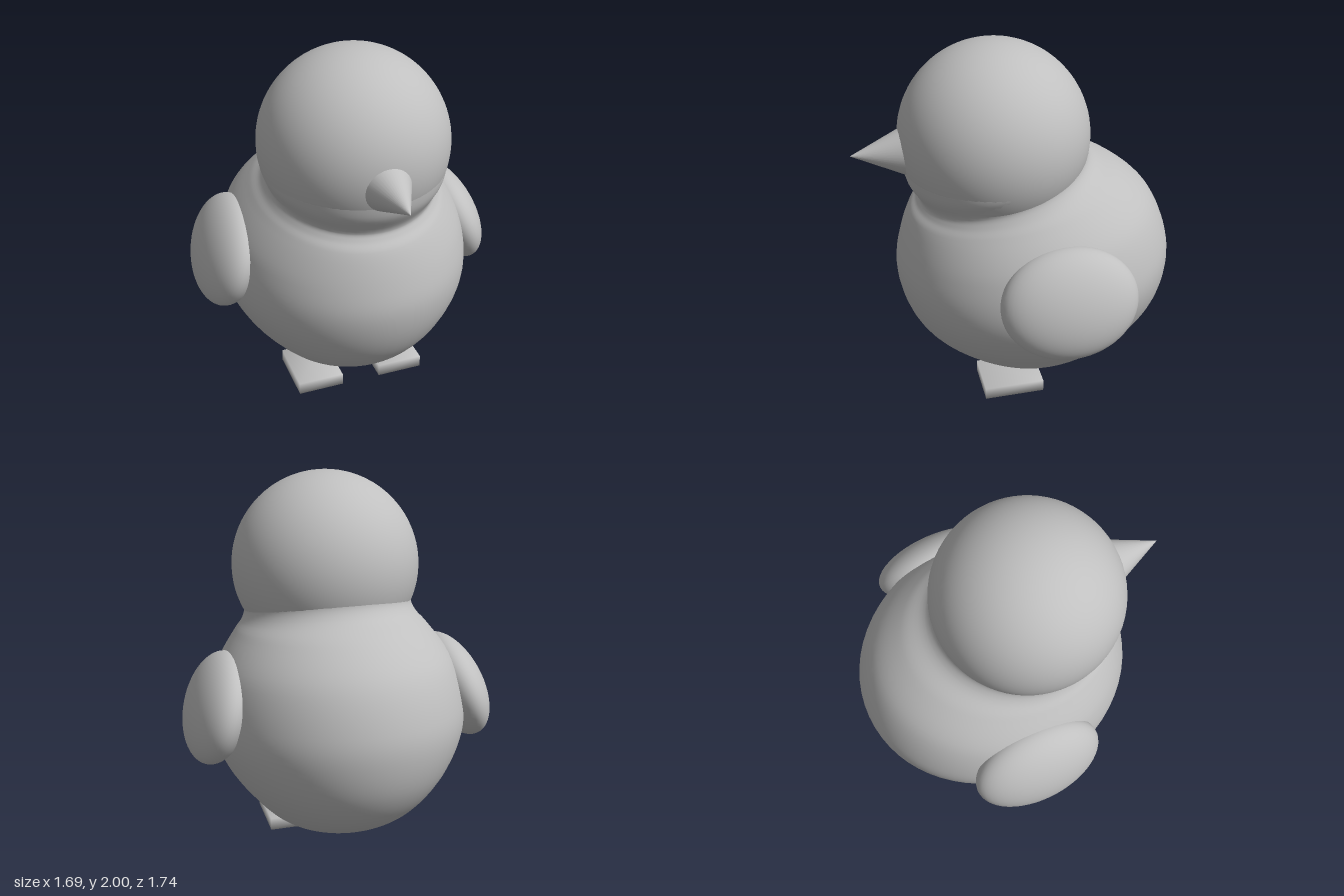
import * as THREE from 'three';
import { mergeVertices } from 'three/addons/utils/BufferGeometryUtils.js';

// Lofted body: each row is [front y, front z, back y, back z, half width]
const BODY_RINGS = [
  [0.055, -0.1, 0.055, -0.1, 0],
  [0.075, 0.085, 0.08, -0.31, 0.19],
  [0.14, 0.27, 0.17, -0.525, 0.36],
  [0.27, 0.456, 0.32, -0.72, 0.495],
  [0.41, 0.573, 0.5, -0.83, 0.61],
  [0.57, 0.64, 0.7, -0.87, 0.685],
  [0.73, 0.663, 0.86, -0.855, 0.69],
  [0.89, 0.637, 1.09, -0.755, 0.64],
  [1.07, 0.575, 1.25, -0.58, 0.53],
  [1.12, 0.535, 1.33, -0.435, 0.475],
  [1.155, 0.522, 1.385, -0.393, 0.458],
  [1.27, 0.583, 1.46, -0.388, 0.493],
  [1.4, 0.605, 1.6, -0.375, 0.5],
];

function bodyGeometry(rows = 72, sides = 64) {
  const front = new THREE.CatmullRomCurve3(
    BODY_RINGS.map(([y, z, , , w]) => new THREE.Vector3(w, y, z)));
  const back = new THREE.CatmullRomCurve3(
    BODY_RINGS.map(([, , y, z]) => new THREE.Vector3(0, y, z)));
  const positions = [], index = [];
  for (let i = 0; i <= rows; i++) {
    const f = front.getPoint(i / rows), b = back.getPoint(i / rows);
    for (let j = 0; j < sides; j++) {
      const a = (j / sides) * Math.PI * 2, k = (1 + Math.cos(a)) / 2;
      positions.push(f.x * Math.sin(a), b.y + (f.y - b.y) * k, b.z + (f.z - b.z) * k);
      if (i === rows) continue;
      const p = i * sides + j, q = i * sides + (j + 1) % sides;
      index.push(p, q, p + sides, q, q + sides, p + sides);
    }
  }
  const geo = new THREE.BufferGeometry();
  geo.setAttribute('position', new THREE.Float32BufferAttribute(positions, 3));
  geo.setIndex(index);
  geo.computeVertexNormals();
  return geo;
}

// Box whose normals are shared across its edges
function softBox(w, h, d) {
  const box = new THREE.BoxGeometry(w, h, d);
  box.deleteAttribute('normal');
  box.deleteAttribute('uv');
  const geo = mergeVertices(box);
  geo.computeVertexNormals();
  return geo;
}

export function createModel() {
  const group = new THREE.Group();
  const grey = new THREE.MeshStandardMaterial({ color: 0xc0c0c0 });
  grey.name = 'light grey';

  const add = (name, geo, x, y, z) => {
    const mesh = new THREE.Mesh(geo, grey);
    mesh.name = name;
    mesh.position.set(x, y, z);
    group.add(mesh);
    return mesh;
  };

  // Body with the neck crease, and the round head
  add('body', bodyGeometry(), 0, 0, 0);
  add('head', new THREE.SphereGeometry(0.51, 64, 40), 0, 1.49, 0.11);

  // Beak
  const beak = add('beak', new THREE.ConeGeometry(0.13, 0.285, 40), 0, 1.445, 0.7275);
  beak.rotation.x = Math.PI / 2;

  // Wings and feet, mirrored
  const wingGeo = new THREE.SphereGeometry(1, 48, 32);
  const footGeo = softBox(0.26, 0.07, 0.335);
  for (const [side, s] of [['left', 1], ['right', -1]]) {
    const wing = add(side + 'Wing', wingGeo, s * 0.666, 0.817, -0.14);
    wing.scale.set(0.158, 0.298, 0.365);
    wing.rotation.z = s * THREE.MathUtils.degToRad(20);
    add(side + 'Foot', footGeo, s * 0.242, 0.035, 0.082);
  }
  return group;
}
